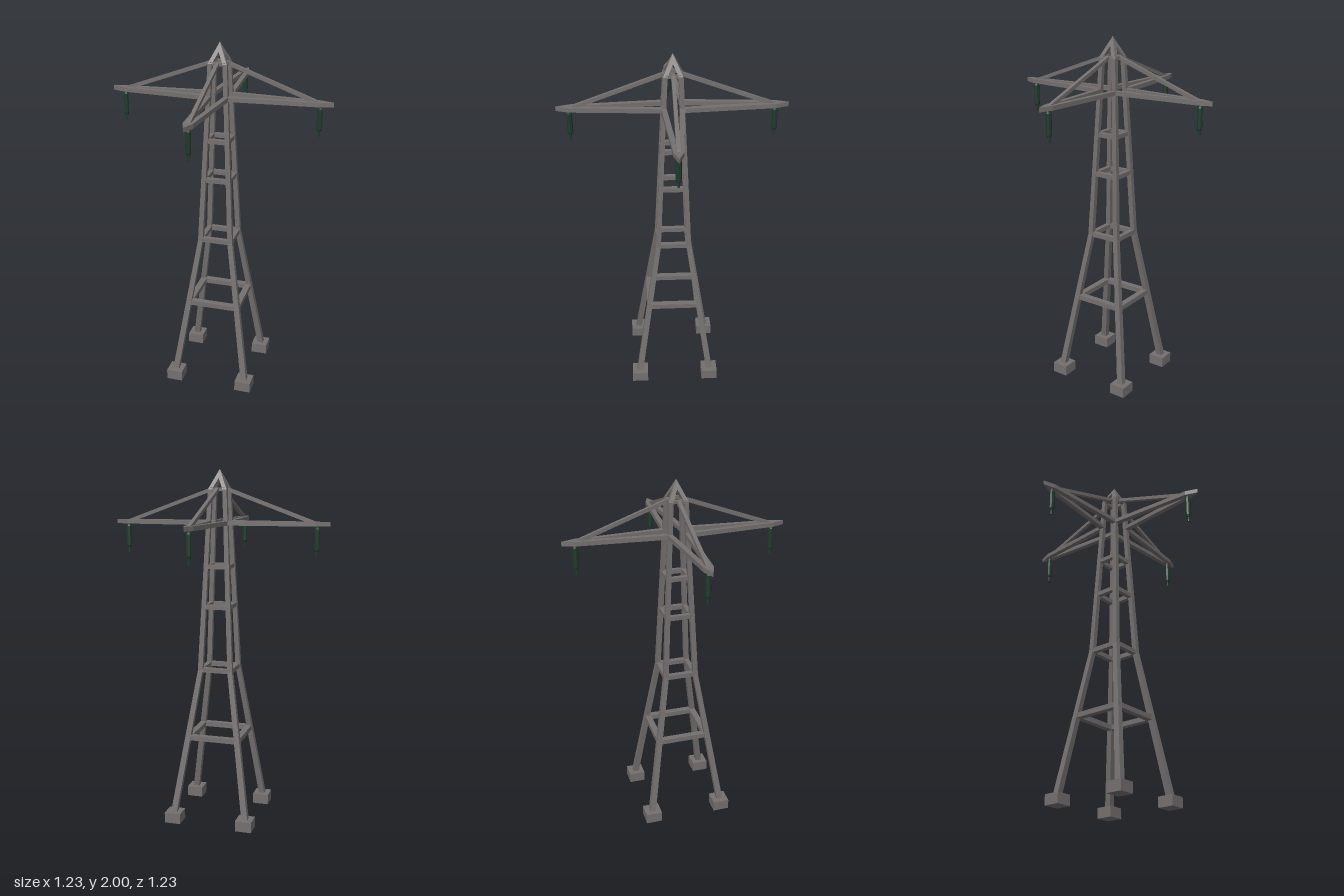
import * as THREE from 'three';

const steel = new THREE.MeshStandardMaterial({ color: 0x757070 });
steel.name = 'steel grey';
const glass = new THREE.MeshStandardMaterial({ color: 0x1f3a2c });
glass.name = 'insulator green';

function add(parent, name, geometry, material = steel) {
  const mesh = new THREE.Mesh(geometry, material);
  mesh.name = name;
  parent.add(mesh);
  return mesh;
}

// Flat-faced bar lofted through four-cornered sections, listed bottom to top
function loft(sections) {
  const pos = [];
  const quad = (a, b, c, d) => pos.push(...a, ...b, ...c, ...a, ...c, ...d);
  for (let s = 0; s < sections.length - 1; s++) {
    const lo = sections[s], hi = sections[s + 1];
    for (let i = 0; i < 4; i++) {
      const j = (i + 1) % 4;
      quad(lo[i], hi[i], hi[j], lo[j]);
    }
  }
  quad(...sections[0]);
  const g = new THREE.BufferGeometry();
  g.setAttribute('position', new THREE.Float32BufferAttribute(pos, 3));
  g.computeVertexNormals();
  return g;
}

// Height, outer offset and inner offset of each leg
const LEG = [[0.05, 0.229, 0.194], [0.88, 0.101, 0.073], [1.89, 0.053, 0.029]];

function outerAt(y) {
  const k = y < LEG[1][0] ? 0 : 1;
  const [a, b] = [LEG[k], LEG[k + 1]];
  return THREE.MathUtils.mapLinear(y, a[0], b[0], a[1], b[1]);
}

function legGeometry() {
  const sections = LEG.map(([y, o, i]) => [[o, y, o], [o, y, i], [i, y, i], [i, y, o]]);
  // The four legs meet in a mitred point
  sections.push([[0, 2, 0], [0.024, 1.95, 0], [0, 1.95, 0], [0, 1.95, 0.024]]);
  sections.forEach((s) => s.reverse());
  return loft(sections);
}

// Plan of a crossarm: two chords converging on a pointed tip
function armGeometry() {
  const plan = [[0.04, 0.064], [0.04, 0.036], [0.53, 0], [0.04, -0.036], [0.04, -0.064],
    [0.545, -0.026], [0.615, 0], [0.545, 0.026]];
  const shape = new THREE.Shape(plan.map(([x, y]) => new THREE.Vector2(x, y)));
  const g = new THREE.ExtrudeGeometry(shape, { depth: 0.024, bevelEnabled: false });
  return g.rotateX(-Math.PI / 2).translate(0, 1.696, 0);
}

// Insulator: ribless body with a thin pin below
function insulatorGeometry() {
  const profile = [[0, 1.53], [0.006, 1.53], [0.006, 1.56], [0.011, 1.56], [0.015, 1.572],
    [0.015, 1.68], [0.011, 1.69], [0.011, 1.7], [0, 1.7]];
  const g = new THREE.LatheGeometry(profile.map(([x, y]) => new THREE.Vector2(x, y)), 8);
  const flat = g.toNonIndexed();
  flat.computeVertexNormals();
  return flat;
}

export function createModel() {
  const model = new THREE.Group();
  model.name = 'transmissionTower';

  const leg = legGeometry();
  const arm = armGeometry();
  const insulator = insulatorGeometry();
  const foot = new THREE.BoxGeometry(0.093, 0.06, 0.093);

  // Sloping stay from the tower head to the arm tip
  const dx = 0.5, dy = -0.182;
  const stay = new THREE.BoxGeometry(Math.hypot(dx, dy), 0.02, 0.02)
    .rotateZ(Math.atan2(dy, dx)).translate(0.045 + dx / 2, 1.89 + dy / 2, 0);

  // Horizontal braces: height, thickness, depth
  const braces = [[0.492, 0.028, 0.035], [0.882, 0.026, 0.027], [1.242, 0.025, 0.025],
    [1.467, 0.024, 0.025], [1.89, 0.018, 0.018]];

  // One quarter of the tower, repeated on each side
  for (let q = 0; q < 4; q++) {
    const side = new THREE.Group();
    side.name = 'towerSide' + (q + 1);
    side.rotation.y = q * Math.PI / 2;
    add(side, 'foot', foot).position.set(0.21, 0.03, 0.21);
    add(side, 'leg', leg);
    add(side, 'crossarm', arm);
    add(side, 'stay', stay);
    add(side, 'insulator', insulator, glass).position.x = 0.545;
    for (const [y, h, d] of braces) {
      const o = outerAt(y) - 0.003;
      add(side, 'brace', new THREE.BoxGeometry(d, h, 2 * o - d)).position.set(o - d / 2, y, 0);
    }
    model.add(side);
  }
  return model;
}
